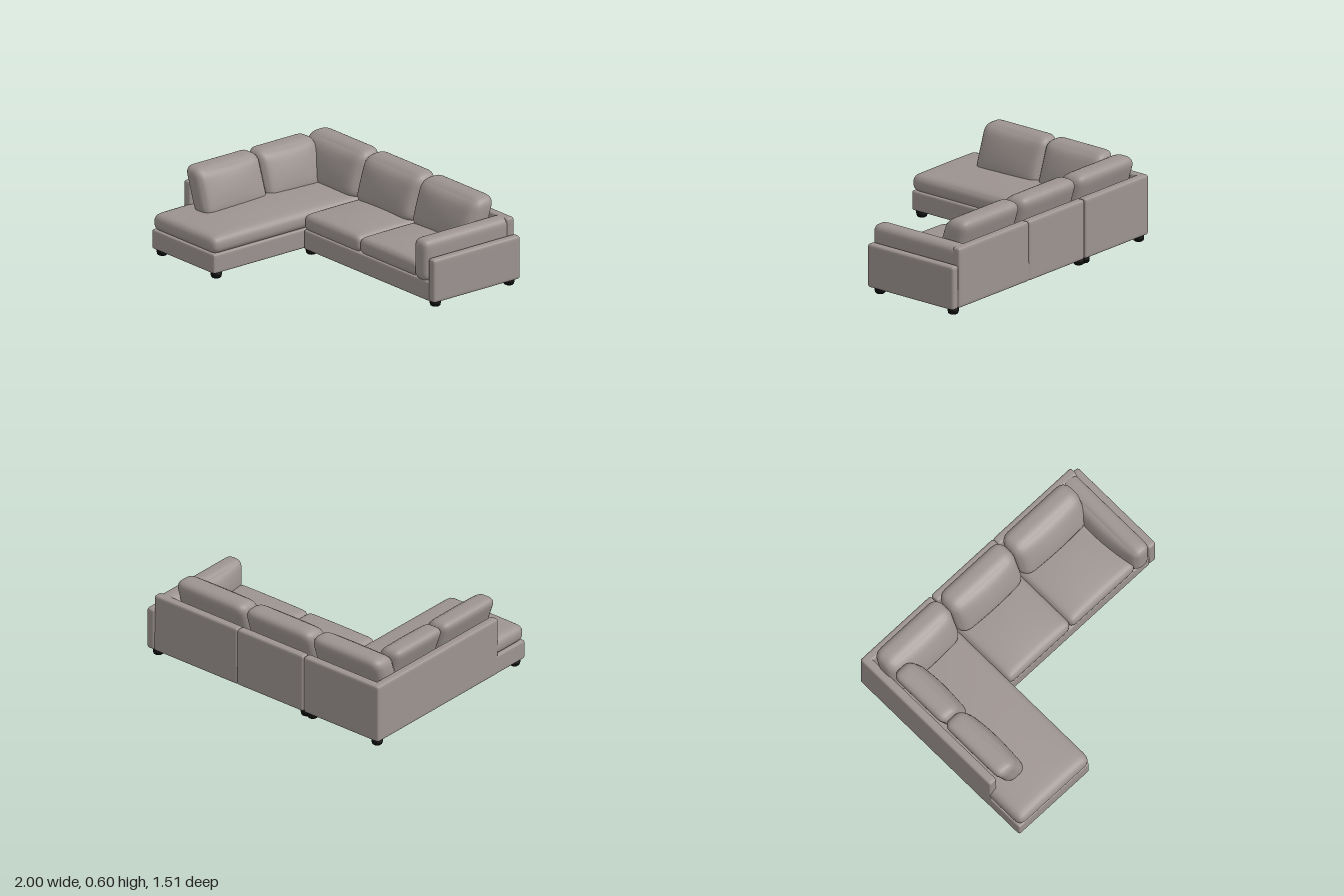
import * as THREE from 'three';
import { mergeVertices } from 'three/addons/utils/BufferGeometryUtils.js';

const fabric = new THREE.MeshStandardMaterial({ name: 'taupeFabric', color: 0x9d9491 });
const black = new THREE.MeshStandardMaterial({ name: 'blackFeet', color: 0x0c0c0c });

// Soft box: rounded edges, optional swelling of single sides, and a backward lean
function softBox(w, h, d, r, { top = 0, front = 0, left = 0, lean = 0, n = 20 } = {}) {
  let geo = new THREE.BoxGeometry(2, 2, 2, n, n, n);
  geo.deleteAttribute('uv');
  geo.deleteAttribute('normal');
  geo = mergeVertices(geo, 1e-4);
  const pos = geo.attributes.position;
  const half = new THREE.Vector3(w / 2, h / 2, d / 2);
  const rad = Math.min(r, half.x, half.y, half.z);
  const inner = half.clone().subScalar(rad);
  const p = new THREE.Vector3(), core = new THREE.Vector3(), u = new THREE.Vector3();
  // crowd the grid lines towards the edges, where the rounding happens
  const crowd = (t) => {
    const s = Math.sin(t * Math.PI / 2);
    return 0.3 * s + 0.7 * Math.sin(s * Math.PI / 2);
  };
  for (let i = 0; i < pos.count; i++) {
    u.fromBufferAttribute(pos, i);
    u.set(crowd(u.x), crowd(u.y), crowd(u.z));
    p.copy(u).multiply(half);
    core.copy(p).clamp(inner.clone().negate(), inner);
    p.sub(core);
    if (p.lengthSq() > 0) p.setLength(rad);
    p.add(core);
    const fx = 1 - u.x * u.x, fy = 1 - u.y * u.y, fz = 1 - u.z * u.z;
    p.y += top * fx * fz * Math.max(0, u.y);
    p.z += front * fx * fy * Math.max(0, u.z);
    p.x -= left * fy * fz * Math.max(0, -u.x);
    p.z -= lean * p.y / h;
    pos.setXYZ(i, p.x, p.y, p.z);
  }
  geo.computeVertexNormals();
  return geo;
}

export function createModel() {
  const model = new THREE.Group();
  model.name = 'cornerSofa';

  // Adds a soft box given by its extents on each axis
  const add = (name, [x0, x1], [y0, y1], [z0, z1], r, opts) => {
    const mesh = new THREE.Mesh(softBox(x1 - x0, y1 - y0, z1 - z0, r, opts), fabric);
    mesh.name = name;
    mesh.position.set((x0 + x1) / 2, (y0 + y1) / 2, (z0 + z1) / 2);
    model.add(mesh);
    return mesh;
  };

  // Upholstered bases
  add('chaiseBase', [-0.997, -0.352], [0.042, 0.18], [-0.75, 0.75], 0.016);
  add('sofaBase', [-0.348, 0.945], [0.042, 0.18], [-0.75, -0.012], 0.016);

  // Back panels, split where the sections meet
  [[-0.998, -0.353], [-0.349, 0.221], [0.219, 0.935]].forEach((x, i) =>
    add('backPanel' + (i + 1), x, [0.042, 0.46], [-0.755, -0.69], 0.018));

  // Side walls
  add('chaiseSidePanel', [-1, -0.935], [0.042, 0.46], [-0.754, 0.475], 0.018);
  add('armPanel', [0.935, 1], [0.042, 0.346], [-0.755, -0.012], 0.02);

  // Seat cushions
  add('chaiseSeat', [-0.995, -0.345], [0.172, 0.295], [-0.7, 0.755], 0.055, { top: 0.028 });
  add('seatCushion1', [-0.352, 0.222], [0.172, 0.29], [-0.7, -0.008], 0.045, { top: 0.025 });
  add('seatCushion2', [0.218, 0.815], [0.172, 0.29], [-0.7, -0.008], 0.045, { top: 0.025 });

  // Padded arm roll inside the arm panel
  add('armCushion', [0.8, 0.932], [0.168, 0.462], [-0.74, 0.008], 0.052, { left: 0.05 });

  // Leaning back cushions along the rear
  [[-0.948, -0.354], [-0.358, 0.222], [0.218, 0.82]].forEach((x, i) =>
    add('backCushion' + (i + 1), x, [0.265, 0.595], [-0.665, -0.475], 0.075,
      { front: 0.03, lean: 0.1 }));

  // Leaning cushions along the chaise side, turned to face +x
  [[-0.505, -0.018], [-0.022, 0.518]].forEach(([z0, z1], i) => {
    const mesh = new THREE.Mesh(
      softBox(z1 - z0, 0.32, 0.165, 0.06, { front: 0.025, lean: 0.11 }), fabric);
    mesh.name = 'sideCushion' + (i + 1);
    mesh.rotation.y = Math.PI / 2;
    mesh.position.set(-0.828, 0.43, (z0 + z1) / 2);
    model.add(mesh);
  });

  // Round feet
  const profile = [[0, 0], [0.027, 0], [0.034, 0.006], [0.038, 0.022], [0.038, 0.046], [0, 0.046]]
    .map(([x, y]) => new THREE.Vector2(x, y));
  const footGeo = new THREE.LatheGeometry(profile, 20);
  const feet = [[-0.95, 0.695], [-0.395, 0.695], [-0.95, -0.705], [-0.395, -0.705],
    [-0.34, -0.705], [-0.34, -0.075], [0.937, -0.705], [0.937, -0.075]];
  feet.forEach(([x, z], i) => {
    const foot = new THREE.Mesh(footGeo, black);
    foot.name = 'foot' + (i + 1);
    foot.position.set(x, 0, z);
    model.add(foot);
  });

  return model;
}
